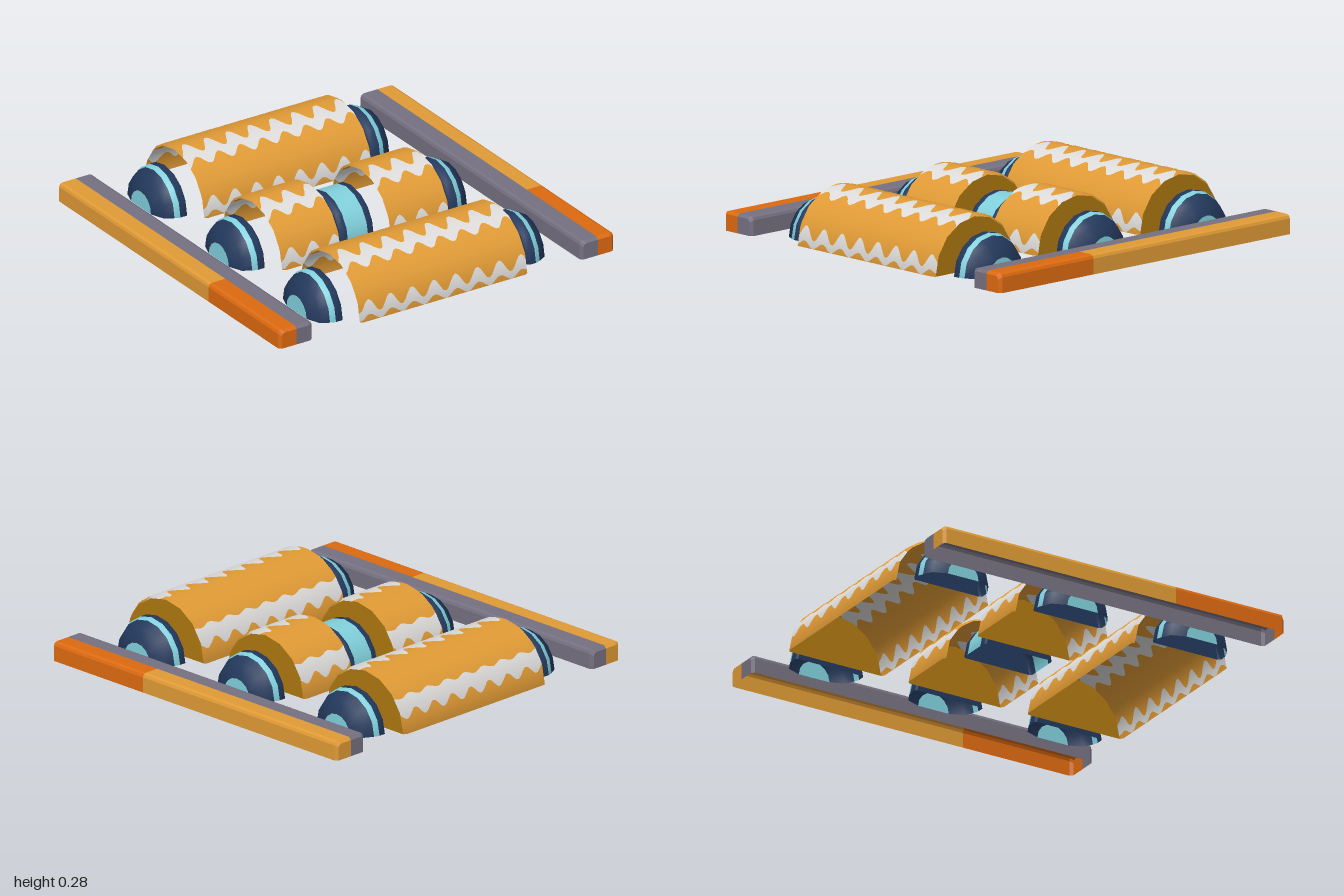
import * as THREE from 'three';
import { ParametricGeometry } from 'three/addons/geometries/ParametricGeometry.js';

function mat(name, color) {
  return new THREE.MeshStandardMaterial({ name, color, side: THREE.DoubleSide });
}

export function createModel() {
  const ochre = mat('ochre', 0xe09a35);
  const darkOchre = mat('dark ochre', 0xad7710);
  const white = mat('off white', 0xdddcda);
  const orange = mat('orange', 0xdd6a10);
  const grey = mat('grey', 0x757080);
  const navy = mat('navy', 0x22385c);
  const cyan = mat('light blue', 0x80d0dc);

  const model = new THREE.Group();
  model.name = 'model';
  const add = (parent, name, geometry, material) => {
    const mesh = new THREE.Mesh(geometry, material);
    mesh.name = name;
    parent.add(mesh);
    return mesh;
  };

  // Half barrels: eight-sided arches painted with wavy bands
  const R = 0.28, STEP = Math.PI / 8;
  const facetRadius = (t) => R * Math.cos(STEP / 2) / Math.cos((t % STEP) - STEP / 2);
  // Band limits in degrees from the front foot: [middle, wave height]
  const limits = [[0, 0], [3.5, 3.5], [15.5, 7.5], [61.5, 5.5], [82, 9.5], [141, 2], [160, 5], [180, 0]];
  const limitAt = ([mid, amp], x) =>
    THREE.MathUtils.degToRad(mid + amp * Math.cos(2 * Math.PI * (x + 0.444) / 0.13));

  function barrel(x0, x1, z) {
    const g = new THREE.Group();
    g.name = 'halfBarrel';
    g.position.z = z;
    for (let i = 0; i < limits.length - 1; i++) {
      const geo = new ParametricGeometry((u, v, p) => {
        const x = x0 + (x1 - x0) * u;
        const t = THREE.MathUtils.lerp(limitAt(limits[i], x), limitAt(limits[i + 1], x), v);
        const edge = Math.min(x - x0, x1 - x);
        const r = facetRadius(t) - 0.012 * Math.max(0, 1 - edge / 0.014);
        p.set(x, r * Math.sin(t), r * Math.cos(t));
      }, Math.round((x1 - x0) * 66), 8);
      // Smooth radial normals
      const pos = geo.attributes.position, n = geo.attributes.normal;
      for (let k = 0; k < pos.count; k++) {
        const l = Math.hypot(pos.getY(k), pos.getZ(k));
        n.setXYZ(k, 0, pos.getY(k) / l, pos.getZ(k) / l);
      }
      add(g, i % 2 ? 'wavyStripe' : 'barrelShell', geo, i % 2 ? white : ochre);
    }
    // Only the left end is closed
    const cap = new THREE.CircleGeometry(R - 0.012, 8, 0, Math.PI);
    cap.rotateY(Math.PI / 2);
    add(g, 'endCap', cap, darkOchre).position.x = x1;
    model.add(g);
  }
  barrel(-0.5, 0.5, -0.7);
  barrel(-0.5, 0.5, 0.7);
  barrel(-0.5, -0.15, 0);
  barrel(0.15, 0.5, 0);

  // Half-turned part along x from [x, radius] points
  function halfLathe(points) {
    const geo = new THREE.LatheGeometry(points.map(([x, r]) => new THREE.Vector2(r, x)), 8, Math.PI, Math.PI);
    return geo.rotateZ(-Math.PI / 2);
  }

  // Domed wheels on both sides
  const domeParts = [
    ['innerFace', [[0.55, 0], [0.55, 0.188]], navy],
    ['innerRim', [[0.55, 0.188], [0.56, 0.2], [0.597, 0.2]], navy],
    ['rimStripe', [[0.597, 0.2], [0.605, 0.199], [0.626, 0.19]], cyan],
    ['outerDome', [[0.626, 0.19], [0.672, 0.165], [0.7, 0.09]], navy],
    ['hubDisc', [[0.7, 0.09], [0.7, 0]], cyan],
  ];
  for (const z of [-0.7, 0, 0.7]) {
    for (const side of [1, -1]) {
      const dome = new THREE.Group();
      dome.name = side > 0 ? 'leftDome' : 'rightDome';
      dome.position.z = z;
      dome.rotation.y = side > 0 ? 0 : Math.PI;
      for (const [name, pts, m] of domeParts) add(dome, name, halfLathe(pts), m);
      model.add(dome);
    }
  }

  // Small roller between the two short barrels
  const roller = new THREE.Group();
  roller.name = 'centreRoller';
  add(roller, 'rollerBand', halfLathe([[-0.06, 0.2], [0.06, 0.2]]), cyan);
  for (const turn of [0, Math.PI]) {
    const rim = add(roller, 'rollerRim', halfLathe([[0.06, 0.2], [0.09, 0.2], [0.1, 0.188]]), navy);
    const face = add(roller, 'rollerFace', halfLathe([[0.1, 0.188], [0.1, 0]]), navy);
    rim.rotation.y = face.rotation.y = turn;
  }
  model.add(roller);

  // Side rails: open-bottomed channels, narrowed a little at both ends
  const outer = [[0.1, 0], [0.1, 0.08], [0.094, 0.094], [0.08, 0.1], [0, 0.1]];
  const inner = outer.map(([x, y]) => [-x, y]).reverse();
  function railStrip(profile, zs) {
    const v = [];
    const at = (i, z) => {
      const s = Math.abs(z) > 0.99 ? 0.86 : 1;
      return [0.9 + profile[i][0] * s, profile[i][1] * s, z];
    };
    for (let i = 0; i < profile.length - 1; i++) {
      for (let k = 0; k < zs.length - 1; k++) {
        const a = at(i, zs[k]), b = at(i + 1, zs[k]), c = at(i + 1, zs[k + 1]), d = at(i, zs[k + 1]);
        v.push(...a, ...b, ...c, ...a, ...c, ...d);
      }
    }
    const geo = new THREE.BufferGeometry();
    geo.setAttribute('position', new THREE.Float32BufferAttribute(v, 3));
    geo.computeVertexNormals();
    return geo;
  }
  function railEnd(profile, z) {
    const pts = [...profile, [0, 0]].map(([x, y]) => new THREE.Vector2(0.9 + x * 0.86, y * 0.86));
    const geo = new THREE.ShapeGeometry(new THREE.Shape(pts));
    if (z < 0) geo.translate(-0.9, 0, 0).rotateY(Math.PI).scale(1, 1, 1).translate(0.9, 0, 0);
    return geo.translate(0, 0, z);
  }
  for (const side of [1, -1]) {
    const rail = new THREE.Group();
    rail.name = side > 0 ? 'leftRail' : 'rightRail';
    rail.scale.x = side;
    add(rail, 'railOuterBack', railStrip(outer, [-1, -0.985, 0.36]), ochre);
    add(rail, 'railOuterFront', railStrip(outer, [0.36, 0.985, 1]), orange);
    add(rail, 'railInner', railStrip(inner, [-1, -0.985, 0.985, 1]), grey);
    add(rail, 'railFrontEndOuter', railEnd(outer, 1), orange);
    add(rail, 'railFrontEndInner', railEnd(inner, 1), grey);
    // Turning a back end swaps its halves
    add(rail, 'railBackEndOuter', railEnd(inner, -1), ochre);
    add(rail, 'railBackEndInner', railEnd(outer, -1), grey);
    model.add(rail);
  }
  return model;
}
